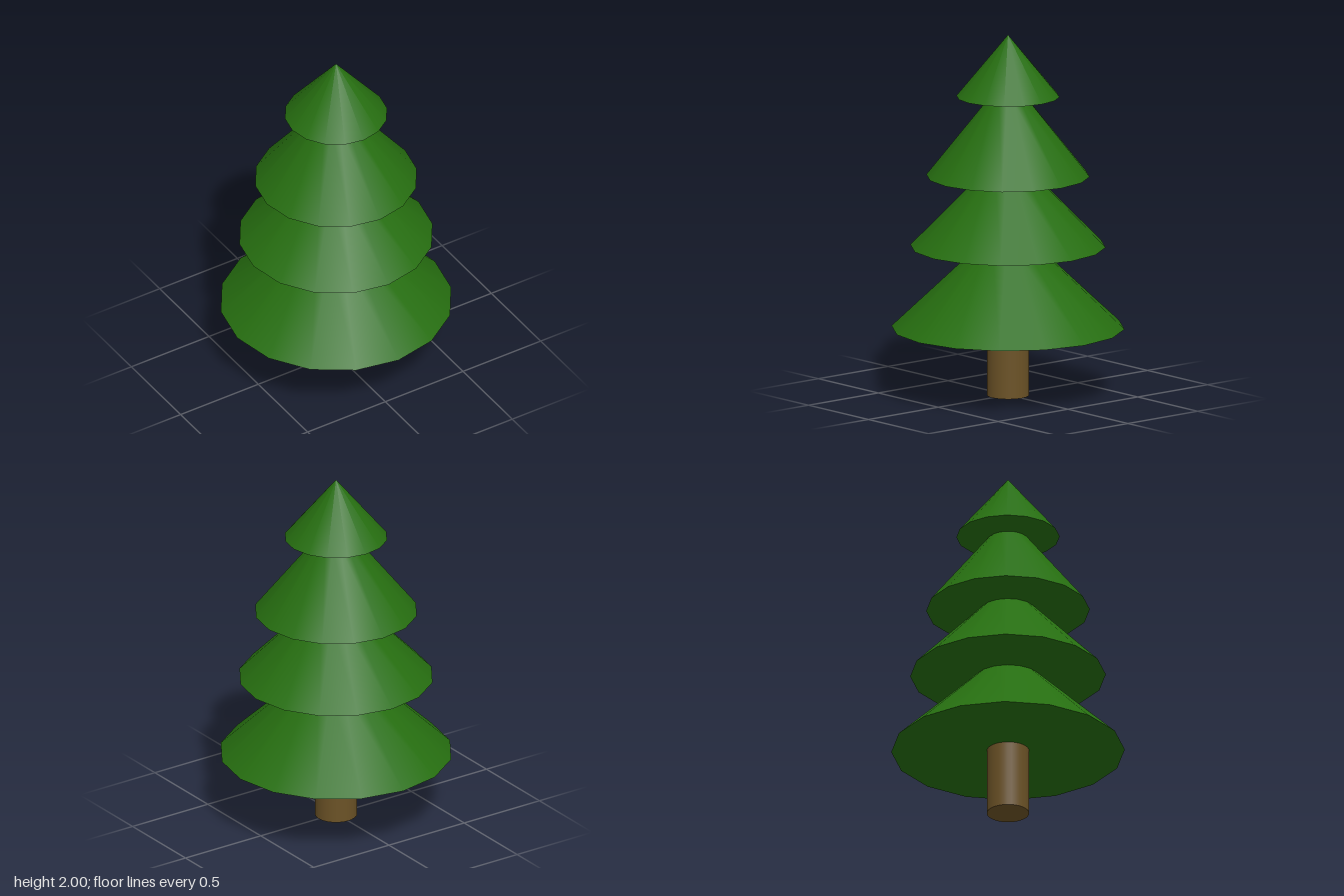
import * as THREE from 'three';
import { mergeGeometries } from 'three/addons/utils/BufferGeometryUtils.js';

const SIDES = 16;

// Revolves each straight stretch separately: smooth around, sharp at the rims.
function turnedProfile(points) {
  const bands = [];
  for (let i = 0; i < points.length - 1; i++) {
    const pair = [points[i], points[i + 1]].map(([r, y]) => new THREE.Vector2(r, y));
    const band = new THREE.LatheGeometry(pair, SIDES);
    band.normalizeNormals();
    bands.push(band);
  }
  return mergeGeometries(bands);
}

export function createModel() {
  const tree = new THREE.Group();
  tree.name = 'pineTree';

  const needles = new THREE.MeshStandardMaterial({ color: 0x266e10 });
  needles.name = 'needle green';
  const bark = new THREE.MeshStandardMaterial({ color: 0x6b5226 });
  bark.name = 'bark brown';

  // Trunk
  const trunk = new THREE.Mesh(new THREE.CylinderGeometry(0.115, 0.115, 0.38, 32), bark);
  trunk.position.y = 0.19;
  trunk.name = 'trunk';
  tree.add(trunk);

  // Foliage tiers, lowest first: [radius, y] of underside centre, rim and top
  const tiers = [
    [[0, 0.375], [0.635, 0.375], [0.18, 0.807]],
    [[0.18, 0.807], [0.532, 0.827], [0.15, 1.218]],
    [[0.15, 1.218], [0.445, 1.218], [0.11, 1.64]],
    [[0.11, 1.64], [0.281, 1.658], [0, 2]],
  ];
  tiers.forEach((profile, i) => {
    const tier = new THREE.Mesh(turnedProfile(profile), needles);
    tier.name = `foliageTier${i + 1}`;
    tree.add(tier);
  });

  return tree;
}
